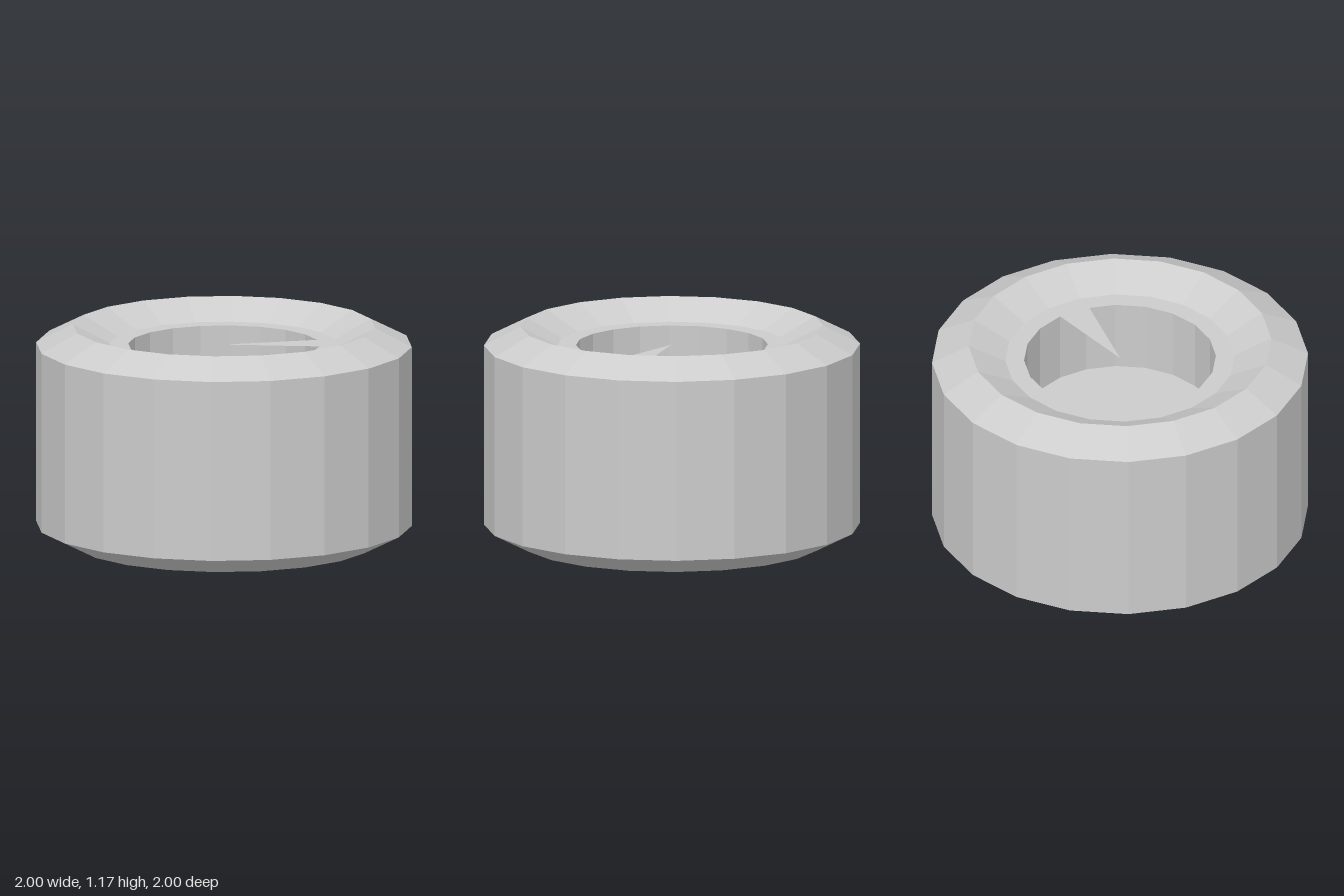
import * as THREE from 'three';

const SIDES = 20;
const HEIGHT = 1.17;
const RING = 1.07; // height of the upper recessed ring
const FLOOR = 0.68; // floor of the upper pocket
const HOLE = 0.51;

export function createModel() {
  const group = new THREE.Group();
  const grey = new THREE.MeshStandardMaterial({ color: 0xcccccc });
  grey.name = 'light grey';

  const add = (name, geometry) => {
    const mesh = new THREE.Mesh(geometry, grey);
    mesh.name = name;
    group.add(mesh);
  };

  // Faceted revolve; the profile runs counter-clockwise around the solid
  const revolve = (profile) => {
    const points = profile.map(([r, y]) => new THREE.Vector2(r, y));
    const geometry = new THREE.LatheGeometry(points, SIDES).toNonIndexed();
    geometry.computeVertexNormals();
    return geometry;
  };

  // Outer wall with the bevelled rims and recessed rings at both ends
  add('outerShell', revolve([
    [HOLE, HEIGHT - RING], [0.61, HEIGHT - RING], [0.805, 0], [1, HEIGHT - RING],
    [1, RING], [0.805, HEIGHT], [0.61, RING], [HOLE, RING],
  ]));

  // Blind pockets in both ends, with a solid web between them
  add('topPocket', revolve([[HOLE, RING], [HOLE, FLOOR], [0, FLOOR]]));
  add('bottomPocket', revolve([[0, HEIGHT - FLOOR], [HOLE, HEIGHT - FLOOR], [HOLE, HEIGHT - RING]]));

  // Pointed tab reaching from each ring to the centre of the hole
  const corner = Math.PI * 2 / SIDES;
  for (const [name, up, y] of [['topTab', 1, RING], ['bottomTab', -1, HEIGHT - RING]]) {
    const outline = [
      [0, 0], [HOLE, 0], [HOLE * Math.cos(corner), HOLE * Math.sin(corner)], [0.477, 0.172],
    ].map(([x, z]) => new THREE.Vector2(x, -up * z));
    const tab = new THREE.ShapeGeometry(new THREE.Shape(outline));
    tab.rotateX(-up * Math.PI / 2).translate(0, y, 0);
    add(name, tab);
  }

  return group;
}
